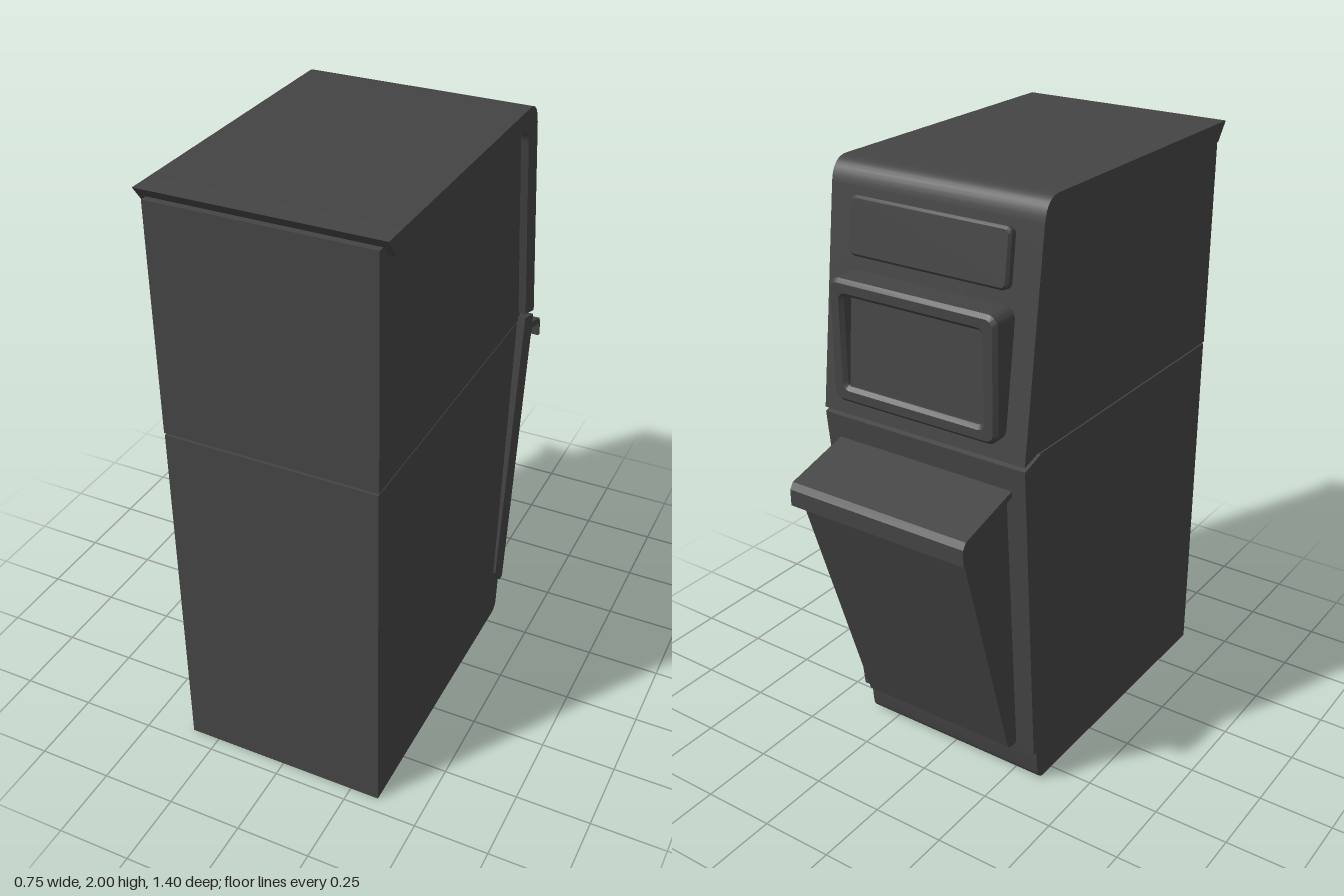
import * as THREE from 'three';
import { toCreasedNormals } from 'three/addons/utils/BufferGeometryUtils.js';

const material = new THREE.MeshStandardMaterial({ color: 0x444444, side: THREE.DoubleSide });

function mesh(name, geometry) {
  const m = new THREE.Mesh(toCreasedNormals(geometry, 0.5), material);
  m.name = name;
  return m;
}

// Extrudes a side profile of (z, y) points across x; halfWidth may depend on y.
function acrossX(shape, halfWidth) {
  const g = new THREE.ExtrudeGeometry(shape, { depth: 2, bevelEnabled: false, curveSegments: 8 });
  g.translate(0, 0, -1).rotateY(-Math.PI / 2);
  const p = g.attributes.position;
  for (let i = 0; i < p.count; i++) p.setX(i, p.getX(i) * halfWidth(p.getY(i)));
  return g;
}

const polygon = (points) => new THREE.Shape(points.map(([z, y]) => new THREE.Vector2(z, y)));

// Drops the triangles lying on the ground, leaving the casing open below.
function openBottom(g) {
  const p = g.attributes.position.array;
  const kept = [];
  for (let i = 0; i < p.length; i += 9) {
    if (Math.max(p[i + 1], p[i + 4], p[i + 7]) > 0.001) kept.push(...p.slice(i, i + 9));
  }
  const open = new THREE.BufferGeometry();
  open.setAttribute('position', new THREE.Float32BufferAttribute(kept, 3));
  return open;
}

// Rounded rectangle centred on the origin.
function roundedRect(w, h, r, Type = THREE.Shape) {
  const s = new Type();
  const x = w / 2, y = h / 2;
  s.absarc(x - r, y - r, r, 0, Math.PI / 2);
  s.absarc(-x + r, y - r, r, Math.PI / 2, Math.PI);
  s.absarc(-x + r, -y + r, r, Math.PI, Math.PI * 1.5);
  s.absarc(x - r, -y + r, r, Math.PI * 1.5, Math.PI * 2);
  s.closePath();
  return s;
}

// Bevelled plate; total size w by h by depth, centred on the origin.
function plate(w, h, depth, r, bevel, hole) {
  const s = roundedRect(w - 2 * bevel, h - 2 * bevel, r);
  if (hole) s.holes.push(roundedRect(hole[0] + 2 * bevel, hole[1] + 2 * bevel, r, THREE.Path));
  const g = new THREE.ExtrudeGeometry(s, {
    depth: depth - 2 * bevel, bevelThickness: bevel, bevelSize: bevel, bevelSegments: 1, curveSegments: 5,
  });
  return g.translate(0, 0, -depth / 2 + bevel);
}

export function createModel() {
  const group = new THREE.Group();
  const taper = (top) => (y) => top - 0.02 * (1.22 - y) / 1.09;

  // Lower casing with a rounded toe, open underneath
  const lower = new THREE.Shape();
  lower.moveTo(0.7, 0);
  lower.lineTo(0.7, 1.218);
  lower.lineTo(-0.38, 1.218);
  lower.lineTo(-0.345, 0.13);
  lower.lineTo(-0.336, 0.04);
  lower.quadraticCurveTo(-0.332, 0, -0.295, 0);
  lower.closePath();
  group.add(mesh('lowerCasing', openBottom(acrossX(lower, () => 0.348))));

  // Upper casing, separated by a narrow seam
  group.add(mesh('upperCasing', acrossX(polygon([
    [0.7, 1.225], [0.7, 1.97], [-0.25, 1.97], [-0.33, 1.9], [-0.4, 1.25], [-0.38, 1.225],
  ]), () => 0.35)));

  // Hood: a band over the top and down the sloping control face
  const hood = new THREE.Shape();
  hood.moveTo(0.7, 2);
  hood.lineTo(-0.3, 2);
  hood.quadraticCurveTo(-0.362, 2, -0.372, 1.93);
  hood.lineTo(-0.463, 1.23);
  hood.lineTo(-0.38, 1.255);
  hood.lineTo(-0.3, 1.89);
  hood.quadraticCurveTo(-0.29, 1.94, -0.22, 1.94);
  hood.lineTo(0.655, 1.94);
  hood.closePath();
  group.add(mesh('hood', acrossX(hood, () => 0.375)));

  // Sloping door frame below the hood
  group.add(mesh('doorFrame', acrossX(polygon([
    [-0.38, 1.24], [-0.462, 1.215], [-0.37, 0.13], [-0.345, 0.13], [-0.29, 0.2],
  ]), taper(0.375))));

  // Wedge-shaped hopper and its overhanging lid
  group.add(mesh('hopper', acrossX(polygon([
    [-0.45, 1.13], [-0.688, 1.063], [-0.42, 0.165], [-0.405, 0.155], [-0.365, 0.155],
  ]), taper(0.307))));
  group.add(mesh('hopperLid', acrossX(polygon([
    [-0.45, 1.138], [-0.685, 1.075], [-0.699, 1.055], [-0.699, 1.0],
    [-0.69, 1.0], [-0.687, 1.05], [-0.45, 1.118],
  ]), () => 0.325)));

  // Upper sign panel, leaning with the hood
  const sign = mesh('signPanel', plate(0.57, 0.18, 0.06, 0.015, 0.008));
  sign.position.set(0, 1.818, -0.383);
  sign.rotation.x = 0.128;
  group.add(sign);

  // Screen surround with a recessed, tilted screen
  const surround = mesh('screenSurround', plate(0.605, 0.395, 0.125, 0.025, 0.012, [0.5, 0.29]));
  surround.position.set(0, 1.4875, -0.44);
  group.add(surround);
  const screen = mesh('screen', new THREE.BoxGeometry(0.54, 0.33, 0.04));
  screen.position.set(0, 1.4875, -0.45);
  screen.rotation.x = 0.09;
  group.add(screen);

  return group;
}
